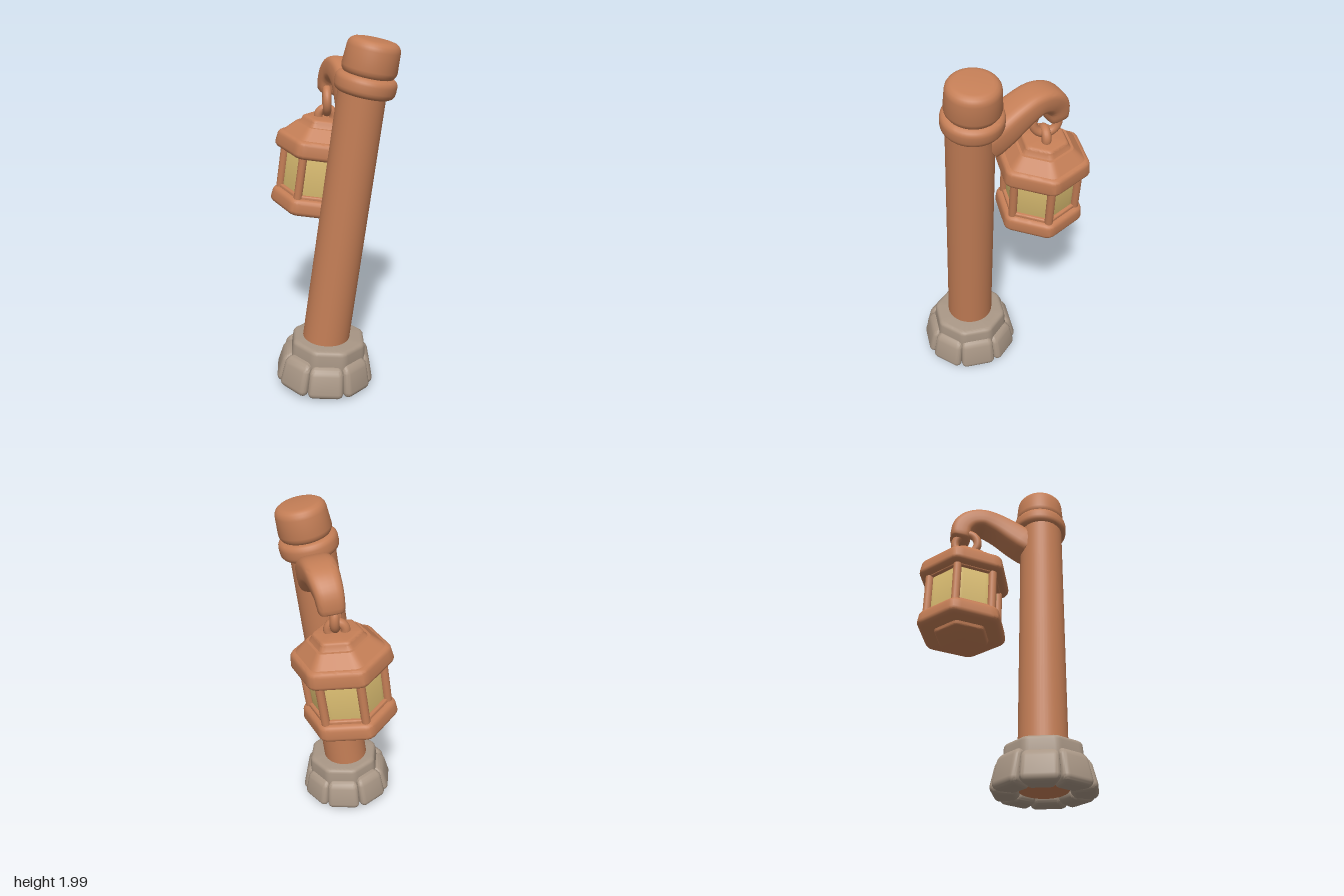
import * as THREE from 'three';
import { toCreasedNormals } from 'three/addons/utils/BufferGeometryUtils.js';
import { RoundedBoxGeometry } from 'three/addons/geometries/RoundedBoxGeometry.js';

const material = (name, color) => {
  const m = new THREE.MeshStandardMaterial({ color });
  m.name = name;
  return m;
};

// Closed profile of a slab, radius r0 at y0 to r1 at y1, with rounded rims
function slab(r0, y0, r1, y1, b) {
  const pts = [[0, y0]];
  for (let i = 0; i <= 4; i++) {
    const a = (i / 4) * Math.PI / 2;
    pts.push([r0 - b + b * Math.sin(a), y0 + b - b * Math.cos(a)]);
  }
  for (let i = 0; i <= 4; i++) {
    const a = (i / 4) * Math.PI / 2;
    pts.push([r1 - b + b * Math.cos(a), y1 - b + b * Math.sin(a)]);
  }
  pts.push([0, y1]);
  return pts;
}

const lathe = (pts, segments = 48) =>
  new THREE.LatheGeometry(pts.map(p => new THREE.Vector2(p[0], p[1])), segments);

// Prism with rounded corners and a flat side facing +z; profile radii are apothems
function prism(sides, pts, corner) {
  const g = lathe(pts, sides * 12);
  const p = g.attributes.position;
  const step = (Math.PI * 2) / sides;
  for (let i = 0; i < p.count; i++) {
    const a = Math.atan2(p.getX(i), p.getZ(i));
    const d = a - Math.round(a / step) * step;
    const k = Math.min(1 / Math.cos(d), corner);
    p.setX(i, p.getX(i) * k);
    p.setZ(i, p.getZ(i) * k);
  }
  return toCreasedNormals(g, 0.5);
}

// Sweep of a rounded-rectangle section along the arm, closed at both ends
function armGeometry() {
  // x, y, z, half width, half thickness
  const stations = [
    [0.135, 1.585, 0.14, 0.10, 0.088],
    [0.125, 1.66, 0.04, 0.10, 0.085],
    [0.105, 1.73, -0.06, 0.095, 0.075],
    [0.075, 1.765, -0.15, 0.09, 0.068],
    [0.045, 1.75, -0.225, 0.083, 0.068],
    [0.02, 1.70, -0.27, 0.075, 0.067],
    [0.005, 1.61, -0.283, 0.068, 0.06],
  ];
  const curve = new THREE.CatmullRomCurve3(stations.map(s => new THREE.Vector3(s[0], s[1], s[2])));
  const rings = [[0, 0], [0, 0.8], [0.01, 0.95]];
  for (let i = 1; i < 28; i++) rings.push([0.02 + (i / 28) * 0.95, 1]);
  rings.push([0.975, 0.98], [0.99, 0.92], [1, 0.78], [1, 0]);
  const n = 28, pos = [], idx = [];
  rings.forEach(([u, scale], r) => {
    const c = curve.getPoint(u), T = curve.getTangent(u);
    const S = new THREE.Vector3(0.95, -0.12, -0.28);
    S.addScaledVector(T, -S.dot(T)).normalize();
    const N = new THREE.Vector3().crossVectors(T, S);
    const f = Math.min(u * 6, 5.9999), k = Math.floor(f);
    const mix = j => THREE.MathUtils.lerp(stations[k][j], stations[k + 1][j], f - k) * scale;
    for (let i = 0; i < n; i++) {
      const a = (i / n) * Math.PI * 2, ca = Math.cos(a), sa = Math.sin(a);
      const v = c.clone()
        .addScaledVector(S, Math.sign(ca) * Math.abs(ca) ** 0.55 * mix(3))
        .addScaledVector(N, Math.sign(sa) * Math.abs(sa) ** 0.55 * mix(4));
      pos.push(v.x, v.y, v.z);
      if (r < rings.length - 1) {
        const p = r * n + i, q = r * n + (i + 1) % n;
        idx.push(p, q, p + n, q, q + n, p + n);
      }
    }
  });
  const g = new THREE.BufferGeometry();
  g.setAttribute('position', new THREE.Float32BufferAttribute(pos, 3));
  g.setIndex(idx);
  return toCreasedNormals(g, 0.7);
}

// Rounded wedge stone: narrower toward the centre, leaning in toward the top
function stoneGeometry(width, height) {
  const depth = 0.15;
  const g = new RoundedBoxGeometry(width, height, depth, 4, 0.042);
  const p = g.attributes.position;
  for (let i = 0; i < p.count; i++) {
    const x = p.getX(i), t = p.getY(i) / height + 0.5, z = p.getZ(i);
    const out = z / depth + 0.5;
    p.setX(i, x * (0.56 + 0.44 * out) * (1 - 0.1 * t));
    p.setZ(i, z - out * (0.045 * t * t + 0.5 * x * x));
  }
  g.computeVertexNormals();
  return toCreasedNormals(g, 0.8);
}

export function createModel() {
  const wood = material('wood', 0xc47e56);
  const stone = material('stone', 0xa89685);
  const glass = material('glass', 0xdcbe72);
  const model = new THREE.Group();
  model.name = 'leaningLanternPost';

  const add = (parent, name, geometry, mat, x = 0, y = 0, z = 0, tilt = 0) => {
    const m = new THREE.Mesh(geometry, mat);
    m.name = name;
    m.position.set(x, y, z);
    m.rotation.z = tilt;
    parent.add(m);
    return m;
  };
  const group = (name, x, y, z, tilt) => {
    const g = new THREE.Group();
    g.name = name;
    g.position.set(x, y, z);
    g.rotation.z = tilt;
    model.add(g);
    return g;
  };

  // Stone footing: eight wedges and an octagonal upper course
  const footing = group('footing', -0.045, 0.018, 0.21, -0.06);
  const widths = [0.215, 0.205, 0.22, 0.208];
  for (let i = 0; i < 8; i++) {
    const a = (i * Math.PI) / 4, h = 0.19 + 0.008 * (i % 3 - 1);
    const r = 0.205 + 0.004 * (i % 2);
    const s = add(footing, 'footingStone', stoneGeometry(widths[i % 4] + 0.012, h), stone,
      Math.sin(a) * r, h / 2, Math.cos(a) * r);
    s.rotation.y = a;
  }
  add(footing, 'upperCourse', prism(8, slab(0.215, 0.09, 0.205, 0.268, 0.025), 1.06), stone, 0.012);

  // Post, collar and cap
  add(model, 'post', new THREE.CylinderGeometry(0.128, 0.135, 1.715, 48), wood, 0.05, 0.9, 0.206, -0.131);
  add(model, 'collar', toCreasedNormals(lathe(slab(0.164, -0.052, 0.164, 0.052, 0.035)), 0.5),
    wood, 0.175, 1.75, 0.197, -0.21);
  add(model, 'postCap', toCreasedNormals(lathe(slab(0.147, 0, 0.14, 0.19, 0.045)), 0.5),
    wood, 0.185, 1.79, 0.197, -0.2);

  // Curved arm
  add(model, 'arm', armGeometry(), wood);

  // Hanging ring
  const ring = add(model, 'hangingRing', new THREE.TorusGeometry(0.07, 0.025, 14, 40), wood, -0.012, 1.572, -0.238);
  ring.rotation.set(0, Math.PI / 2, 0);

  // Lantern, hexagonal with a corner at each side
  const lantern = group('lantern', -0.095, 0.925, -0.235, -0.14);
  const hex = (name, r0, y0, r1, y1, b, mat = wood) =>
    add(lantern, name, prism(6, slab(r0, y0, r1, y1, b), 1.12), mat);
  hex('lanternFoot', 0.14, -0.022, 0.15, 0.03, 0.012);
  hex('lanternBase', 0.233, 0, 0.228, 0.1, 0.03);
  hex('lowerRail', 0.198, 0.09, 0.196, 0.118, 0.008);
  hex('lanternGlass', 0.178, 0.1, 0.178, 0.37, 0.005, glass);
  hex('upperRail', 0.2, 0.338, 0.2, 0.37, 0.008);
  const roof = slab(0.245, 0.345, 0.238, 0.45, 0.028).slice(0, -1);
  roof.push([0.15, 0.512], [0, 0.52]);
  add(lantern, 'lanternRoof', prism(6, roof, 1.12), wood);
  hex('roofCap', 0.138, 0.49, 0.122, 0.553, 0.02);
  for (let i = 0; i < 6; i++) {
    const a = (i * Math.PI) / 3;
    add(lantern, 'cornerPost', new THREE.CylinderGeometry(0.024, 0.024, 0.28, 12), wood,
      Math.cos(a) * 0.213, 0.225, Math.sin(a) * 0.213);
  }
  add(lantern, 'topLoop', new THREE.TorusGeometry(0.045, 0.026, 14, 32), wood, 0, 0.56, 0);

  return model;
}
